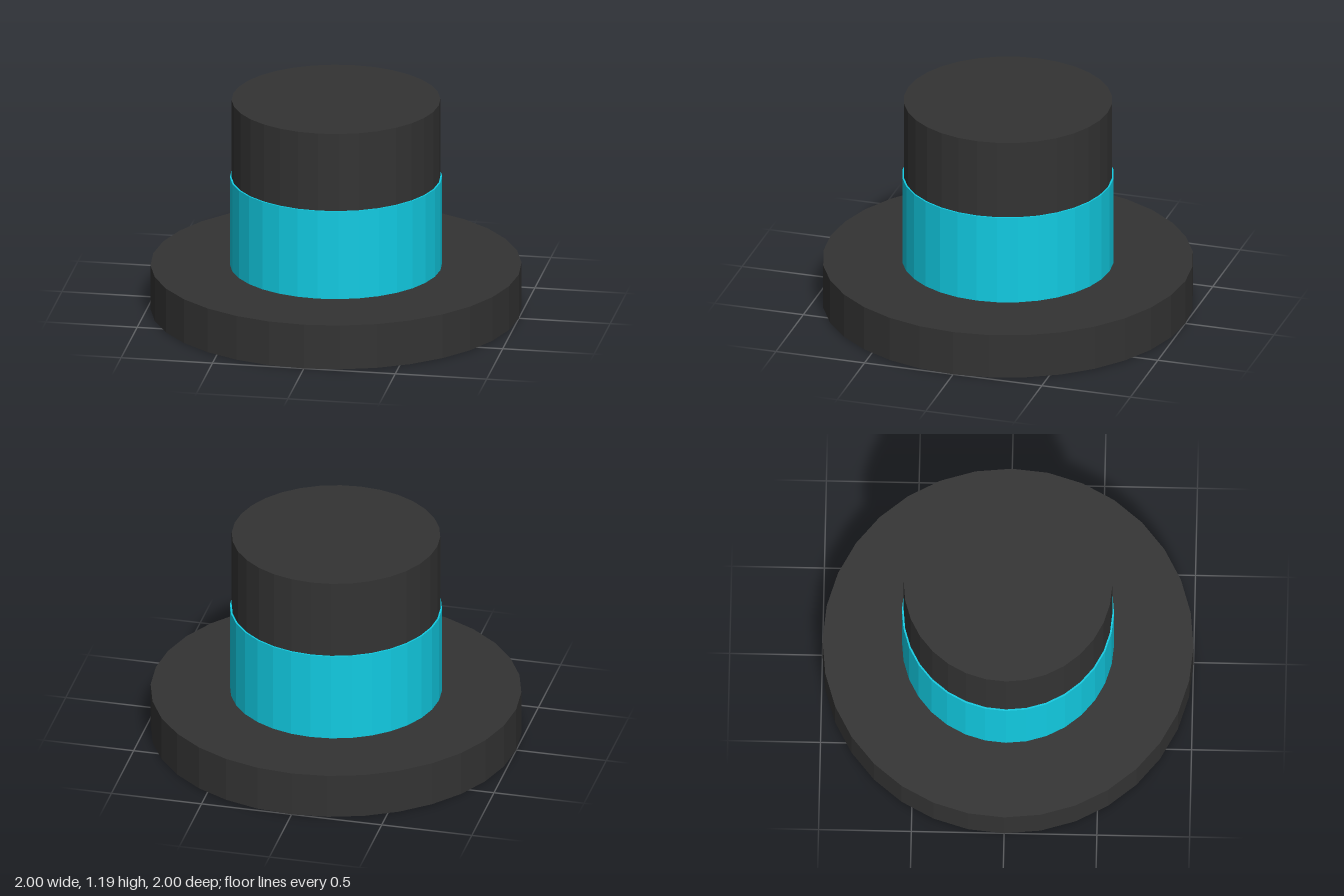
import * as THREE from 'three';

export function createModel() {
  const group = new THREE.Group();
  group.name = 'topHat';

  const felt = new THREE.MeshStandardMaterial({ color: 0x333333 });
  felt.name = 'charcoal felt';
  const ribbon = new THREE.MeshStandardMaterial({ color: 0x11cbe2 });
  ribbon.name = 'cyan ribbon';

  const SIDES = 32;

  // Upright cylinder between two heights
  function disc(name, radius, bottom, top, material) {
    const geometry = new THREE.CylinderGeometry(radius, radius, top - bottom, SIDES);
    const mesh = new THREE.Mesh(geometry, material);
    mesh.name = name;
    mesh.position.y = (bottom + top) / 2;
    group.add(mesh);
  }

  disc('brim', 1, 0, 0.25, felt);
  disc('crown', 0.5625, 0.25, 1.19, felt);
  disc('hatBand', 0.572, 0.25, 0.75, ribbon);

  // Faceted sides
  felt.flatShading = true;
  ribbon.flatShading = true;

  return group;
}
